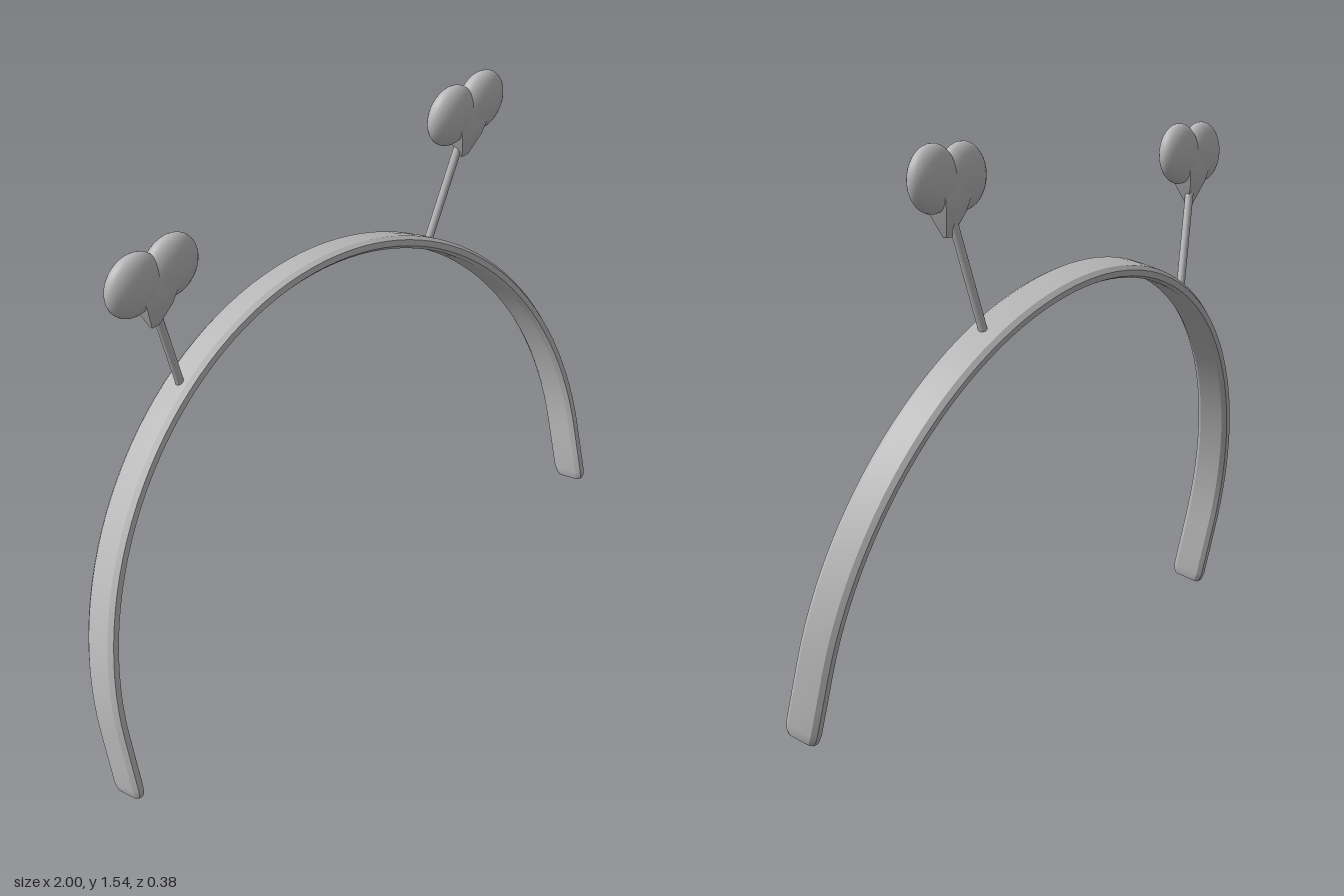
import * as THREE from 'three';
import { toCreasedNormals } from 'three/addons/utils/BufferGeometryUtils.js';

// Skin a list of closed rings (arrays of [x, y, z]) and cap both ends
function loft(rings, crease) {
  const n = rings[0].length, pos = rings.flat(2), idx = [];
  for (let i = 0; i < rings.length - 1; i++) {
    for (let j = 0; j < n; j++) {
      const a = i * n + j, b = i * n + (j + 1) % n;
      idx.push(a, b, b + n, a, b + n, a + n);
    }
  }
  const last = (rings.length - 1) * n;
  for (let j = 1; j < n - 1; j++) {
    idx.push(0, j + 1, j, last, last + j, last + j + 1);
  }
  const g = new THREE.BufferGeometry();
  g.setAttribute('position', new THREE.Float32BufferAttribute(pos, 3));
  g.setIndex(idx);
  return toCreasedNormals(g, crease);
}

// Headband: chamfered strip along a half circle with short straight legs
function bandGeometry() {
  const R = 0.98, legs = [[0.206, 0.7], [0.196, 0.88], [0.175, 1], [0.09, 1]];
  const section = [
    [0.019, 0.04], [0.02, 0], [0.019, -0.04], [0.009, -0.054],
    [-0.009, -0.054], [-0.018, -0.04], [-0.018, 0], [-0.018, 0.04],
    [-0.009, 0.054], [0.009, 0.054],
  ];
  const ring = (angle, drop, s) => section.map(([r, z]) => [
    Math.cos(angle) * (R + r * s), Math.sin(angle) * (R + r * s) - drop, z * (0.4 + 0.6 * s),
  ]);
  const rings = legs.map(([d, s]) => ring(0, d, s));
  for (let i = 0; i <= 64; i++) rings.push(ring(Math.PI * i / 64, 0, 1));
  [...legs].reverse().forEach(([d, s]) => rings.push(ring(Math.PI, d, s)));
  return loft(rings, 0.5);
}

// Faceted point under the two lobes of a heart
function pointGeometry() {
  const levels = [[-0.155, 0.013, 0.005], [-0.09, 0.042, 0.029], [-0.048, 0.056, 0.037], [0.01, 0.03, 0.031]];
  return loft(levels.map(([y, x, z]) => [[x, y, z], [x, y, -z], [-x, y, -z], [-x, y, z]]), 0.5);
}

export function createModel() {
  const group = new THREE.Group();
  const grey = new THREE.MeshStandardMaterial({ color: 0xb8b8b8 });
  grey.name = 'grey';
  const add = (parent, name, geometry) => {
    const mesh = new THREE.Mesh(geometry, grey);
    mesh.name = name;
    parent.add(mesh);
    return mesh;
  };

  // Band, leaning backwards
  const band = add(group, 'headband', bandGeometry());
  band.position.set(0, 0.208, 0.1);
  band.rotation.x = -0.24;

  // Antennae: stalk with a heart made of two lobes and a point
  const lobe = new THREE.SphereGeometry(0.091, 32, 20);
  const point = pointGeometry();
  for (const [side, s] of [['left', 1], ['right', -1]]) {
    const antenna = new THREE.Group();
    antenna.name = side + 'Antenna';
    group.add(antenna);

    const from = new THREE.Vector3(0.504 * s, 1.042, -0.095);
    const to = new THREE.Vector3(0.602 * s, 1.35, -0.068);
    const dir = to.clone().sub(from);
    const stalk = add(antenna, 'stalk', new THREE.CylinderGeometry(0.0125, 0.0125, dir.length(), 16));
    stalk.position.copy(from).add(to).multiplyScalar(0.5);
    stalk.quaternion.setFromUnitVectors(new THREE.Vector3(0, 1, 0), dir.normalize());

    const heart = new THREE.Group();
    heart.name = 'heart';
    heart.position.set(0.61 * s, 1.451, -0.061);
    antenna.add(heart);
    for (const k of [-1, 1]) {
      const m = add(heart, 'heartLobe', lobe);
      m.position.x = 0.064 * k;
      m.scale.z = 0.47;
    }
    add(heart, 'heartPoint', point);
  }
  return group;
}
